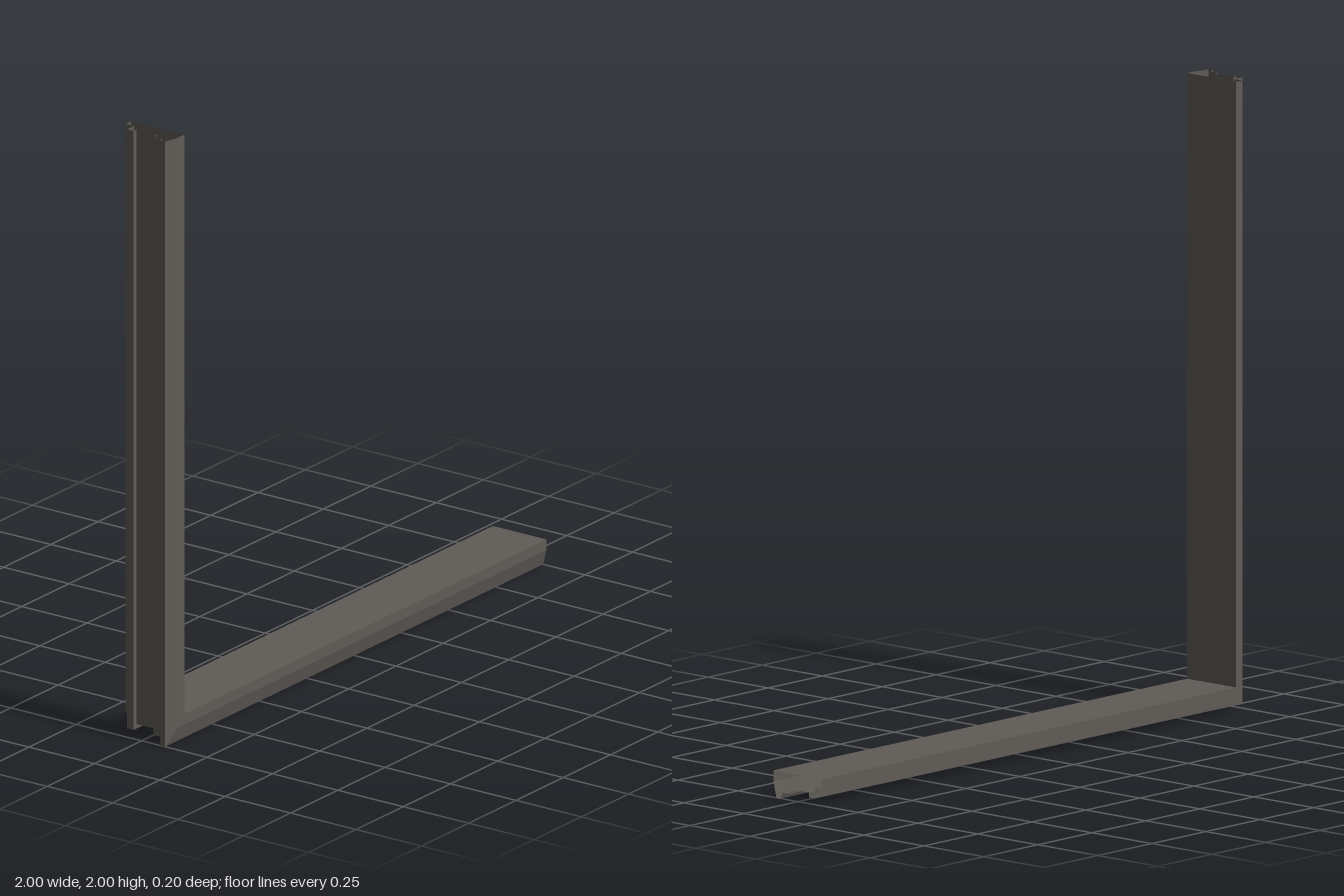
import * as THREE from 'three';

// Moulding cross-section: [z, distance from the outer corner edge]
const PROFILE = [
  [0.102, 0.085], [-0.102, 0.085], [-0.102, 0.057], [-0.07, 0.057],
  [-0.07, 0.02], [-0.045, 0.02], [-0.045, 0.035], [0.032, 0.035],
  [0.032, 0.02], [0.06, 0.02], [0.064, 0.02], [0.071, 0], [0.09, 0], [0.102, 0.05],
];

// Sweeps the profile from the mitred corner to the open square end
function sweep(start, end, flip) {
  const pos = [];
  PROFILE.forEach((p, i) => {
    const q = PROFILE[(i + 1) % PROFILE.length];
    const a0 = start(p), a1 = end(p), b0 = start(q), b1 = end(q);
    const quad = flip ? [a0, b0, b1, a0, b1, a1] : [a0, a1, b1, a0, b1, b0];
    quad.forEach((v) => pos.push(...v));
  });
  const geo = new THREE.BufferGeometry();
  geo.setAttribute('position', new THREE.Float32BufferAttribute(pos, 3));
  geo.computeVertexNormals();
  return geo;
}

export function createModel() {
  const group = new THREE.Group();
  group.name = 'cornerFrame';
  const material = new THREE.MeshStandardMaterial({ color: 0x605b56, side: THREE.DoubleSide });
  material.name = 'warm dark grey';

  const corner = ([z, d]) => [-1 + d, d, z];

  // Horizontal rail along the bottom
  const rail = new THREE.Mesh(sweep(corner, ([z, d]) => [1, d, z], false), material);
  rail.name = 'bottomRail';

  // Upright post at the mitred corner
  const post = new THREE.Mesh(sweep(corner, ([z, d]) => [-1 + d, 2, z], true), material);
  post.name = 'sidePost';

  group.add(rail, post);
  return group;
}
